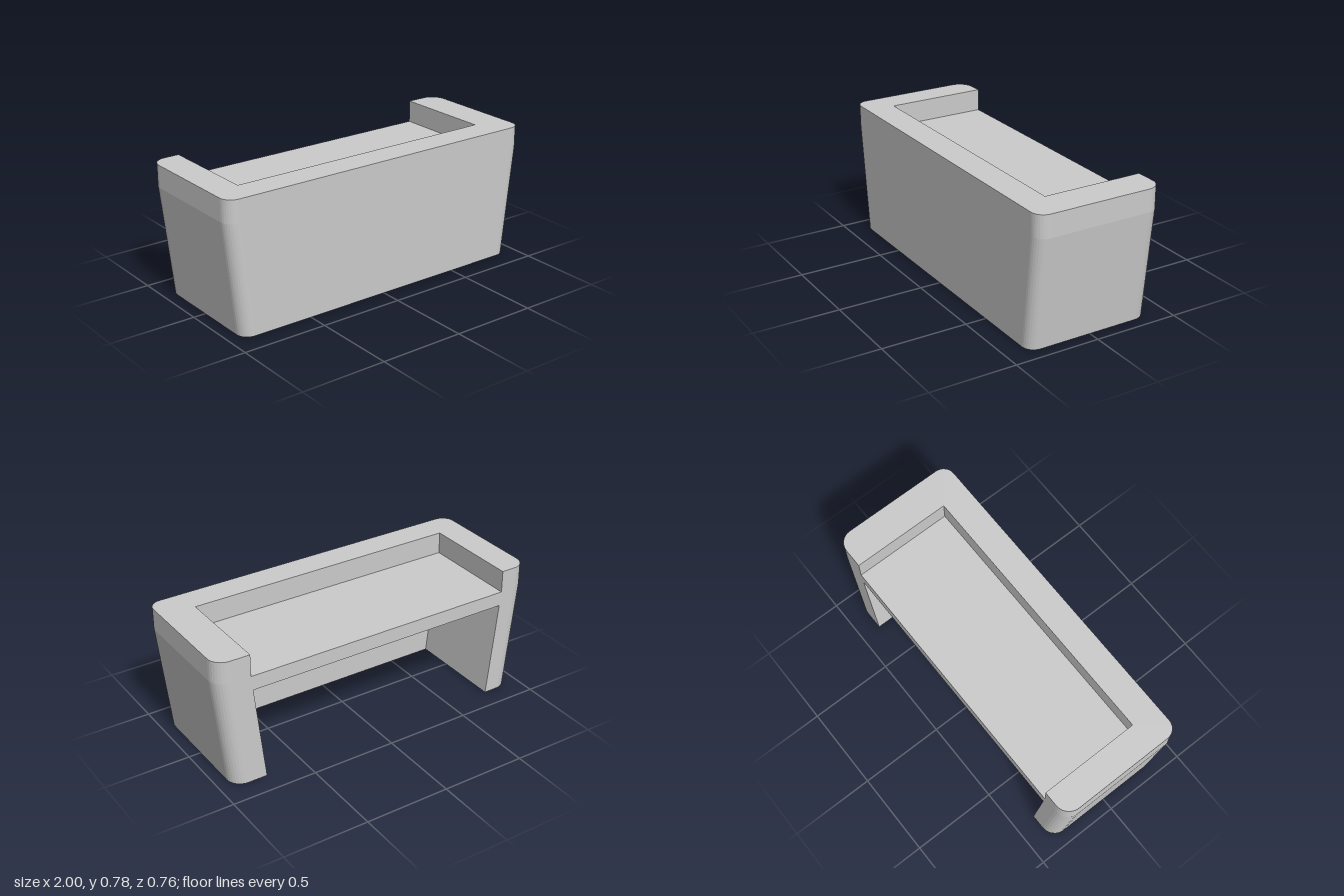
import * as THREE from 'three';

const H = 0.78, Z = 0.378;            // height, half depth
const INNER_R = -0.83, INNER_L = 0.8; // inner faces of the side walls
const INNER_FRONT = 0.21;             // back face of the front wall
const DESK_TOP = 0.65, DESK_BOTTOM = 0.565;
const LEAN = 0.072;                   // inward shift of the side walls at the floor

export function createModel() {
  const group = new THREE.Group();
  group.name = 'receptionDesk';
  const material = new THREE.MeshStandardMaterial({ color: 0xcccccc, flatShading: true });

  // U-shaped wall plan with rounded corners (shape y is -z)
  const rb = 0.085, rf = 0.07, P = Math.PI;
  const plan = new THREE.Shape();
  plan.moveTo(INNER_R, Z);
  plan.lineTo(INNER_R, -INNER_FRONT);
  plan.lineTo(INNER_L, -INNER_FRONT);
  plan.lineTo(INNER_L, Z);
  plan.absarc(1 - rb, Z - rb, rb, P / 2, 0, true);
  plan.absarc(1 - rf, rf - Z, rf, 0, -P / 2, true);
  plan.absarc(rf - 1, rf - Z, rf, -P / 2, -P, true);
  plan.absarc(rb - 1, Z - rb, rb, P, P / 2, true);
  plan.closePath();

  const wallGeo = new THREE.ExtrudeGeometry(plan, {
    depth: H, steps: 6, curveSegments: 4, bevelEnabled: false,
  });
  wallGeo.rotateX(-P / 2);

  // Below the desk top the sides lean inward towards the floor
  const pos = wallGeo.attributes.position;
  for (let i = 0; i < pos.count; i++) {
    const x = pos.getX(i);
    const t = Math.max(0, (DESK_TOP - pos.getY(i)) / DESK_TOP);
    pos.setX(i, x - Math.sign(x) * LEAN * t);
  }
  wallGeo.computeVertexNormals();
  const wall = new THREE.Mesh(wallGeo, material);
  wall.name = 'frontAndSideWalls';
  group.add(wall);

  // Work surface set between the walls
  const desk = new THREE.Mesh(
    new THREE.BoxGeometry(INNER_L - INNER_R, DESK_TOP - DESK_BOTTOM, INNER_FRONT + Z), material);
  desk.position.set((INNER_L + INNER_R) / 2, (DESK_TOP + DESK_BOTTOM) / 2, (INNER_FRONT - Z) / 2);
  desk.name = 'workSurface';
  group.add(desk);

  return group;
}
